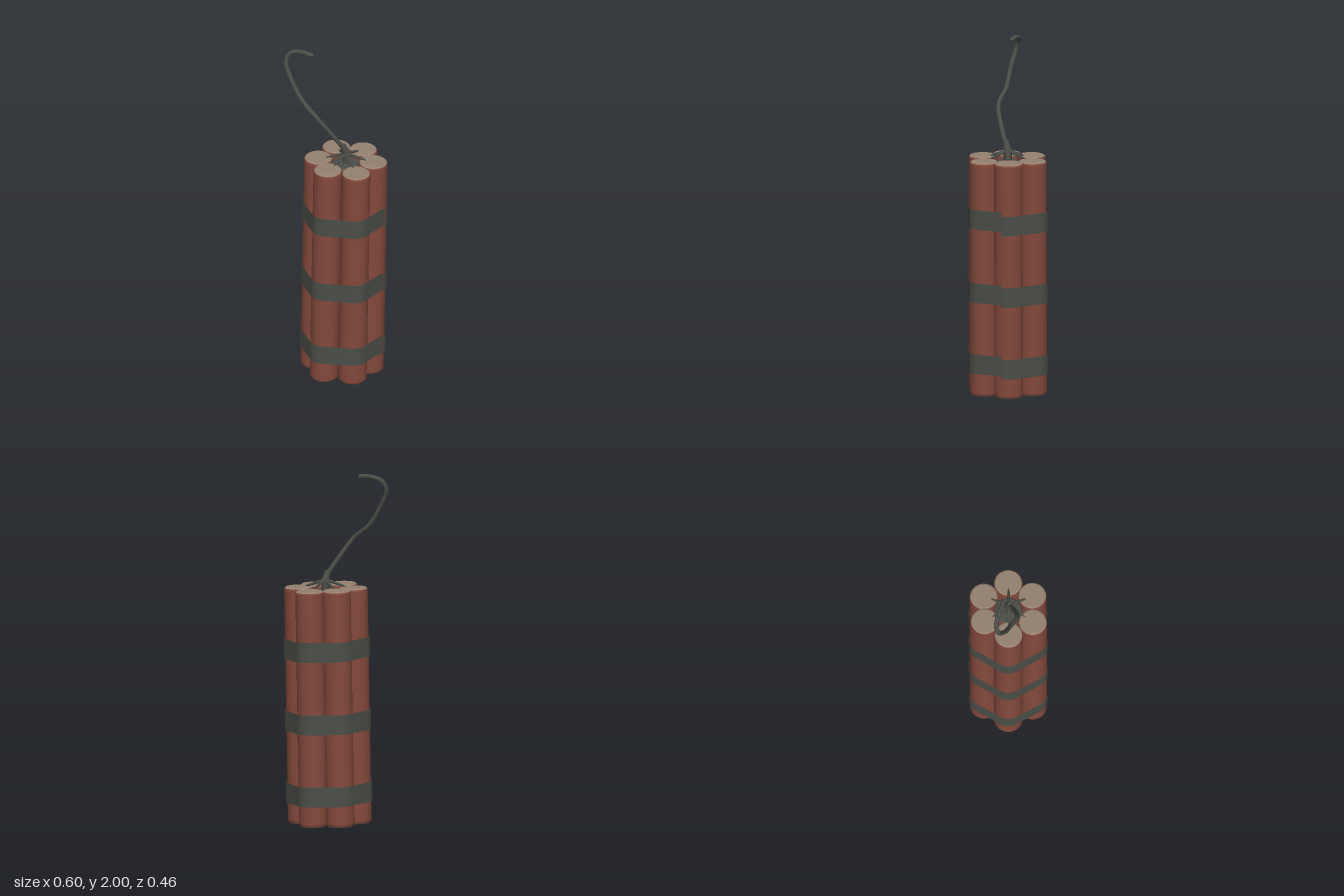
import * as THREE from 'three';

const stickRed = new THREE.MeshStandardMaterial({ color: 0x84493c });
stickRed.name = 'stickRed';
const capTan = new THREE.MeshStandardMaterial({ color: 0x94806f });
capTan.name = 'capTan';
const darkGrey = new THREE.MeshStandardMaterial({ color: 0x4b4e48, side: THREE.DoubleSide });
darkGrey.name = 'darkGrey';

const R = 0.08;
// Outer stick centres [x, z], running from the left side round through the front
const centres = [[0.198, -0.015], [0.133, 0.125], [-0.027, 0.14], [-0.112, 0.01], [-0.042, -0.13], [0.108, -0.145]];

function mesh(name, geometry, material, parent) {
  const m = new THREE.Mesh(geometry, material);
  m.name = name;
  parent.add(m);
  return m;
}

function lathe(points) {
  return new THREE.LatheGeometry(points.map(([r, y]) => new THREE.Vector2(r, y)), 32);
}

// One stick: red tube with a slightly bevelled disc at each end
function addStick(parent, name, [x, z], y0, y1, topMaterial) {
  const g = new THREE.Group();
  g.name = name;
  g.position.set(x, 0, z);
  mesh('tube', lathe([[0.077, y0 + 0.006], [R, y0 + 0.014], [R, y0 + 0.016], [R, y1 - 0.016], [R, y1 - 0.014], [0.077, y1 - 0.006]]), stickRed, g);
  mesh('bottomCap', lathe([[0, y0], [0.069, y0], [0.07, y0], [0.077, y0 + 0.006]]), capTan, g);
  mesh('topCap', lathe([[0.077, y1 - 0.006], [0.07, y1], [0.069, y1], [0, y1]]), topMaterial, g);
  parent.add(g);
}

// Tape wound once round the bundle, sinking by `drop` so its ends overlap
function bandGeometry(yMid, height, drop) {
  const n = centres.length;
  const edgeAngle = i => {
    const a = centres[(i + n) % n], b = centres[(i + 1) % n];
    return Math.atan2(-(b[0] - a[0]), b[1] - a[1]);
  };
  const path = [];
  for (let i = 0; i <= n; i++) {
    const c = centres[i % n], a1 = edgeAngle(i % n);
    let a0 = edgeAngle((i % n) - 1);
    while (a0 > a1) a0 -= Math.PI * 2;
    while (a1 - a0 > Math.PI * 2) a0 += Math.PI * 2;
    for (let k = i === 0 ? 8 : 0; k <= 8; k++) {
      const a = a0 + (a1 - a0) * k / 8, r = 0.085 + 0.004 * i / n;
      path.push([c[0] + r * Math.cos(a), c[1] + r * Math.sin(a)]);
    }
  }
  const positions = [], index = [];
  path.forEach(([x, z], k) => {
    const y = yMid - drop * k / (path.length - 1);
    positions.push(x, y - height / 2, z, x, y + height / 2, z);
    if (k) {
      const j = 2 * k - 2;
      index.push(j, j + 1, j + 2, j + 1, j + 3, j + 2);
    }
  });
  const g = new THREE.BufferGeometry();
  g.setAttribute('position', new THREE.Float32BufferAttribute(positions, 3));
  g.setIndex(index);
  g.computeVertexNormals();
  return g;
}

// Tapered rod between two points
function addRod(parent, name, from, to, r0, r1) {
  const a = new THREE.Vector3(...from), b = new THREE.Vector3(...to);
  const d = b.clone().sub(a);
  const m = mesh(name, new THREE.CylinderGeometry(r1, r0, d.length(), 10), darkGrey, parent);
  m.position.copy(a).add(b).multiplyScalar(0.5);
  m.quaternion.setFromUnitVectors(new THREE.Vector3(0, 1, 0), d.normalize());
}

export function createModel() {
  const model = new THREE.Group();
  model.name = 'stickBundle';

  // Sticks and tape lean slightly to one side
  const bundle = new THREE.Group();
  bundle.name = 'bundle';
  bundle.rotation.z = -0.0165;
  model.add(bundle);
  centres.forEach((c, i) => addStick(bundle, 'outerStick' + (i + 1), c, 0.013, 1.348 + (i % 2 ? 0 : 0.004), capTan));
  addStick(bundle, 'centreStick', [0.04, -0.002], 0.006, 1.33, darkGrey);
  [[1.026, 0.112, 0.024], [0.606, 0.112, 0.011], [0.2, 0.112, 0.016]].forEach(([y, h, drop], i) =>
    mesh('tapeBand' + (i + 1), bandGeometry(y, h, drop), darkGrey, bundle));

  // Fuse cord
  const fuse = new THREE.Group();
  fuse.name = 'fuse';
  model.add(fuse);
  const points = [
    [0.068, 1.36, -0.003], [0.055, 1.42, 0.008], [0, 1.51, 0.036], [-0.085, 1.625, 0.057],
    [-0.175, 1.7, 0.02], [-0.245, 1.81, -0.004], [-0.287, 1.915, -0.034],
    [-0.266, 1.965, -0.046], [-0.205, 1.987, -0.038], [-0.135, 1.985, -0.016],
  ].map(p => new THREE.Vector3(...p));
  mesh('cord', new THREE.TubeGeometry(new THREE.CatmullRomCurve3(points), 80, 0.013, 10), darkGrey, fuse);
  const tip = mesh('cordTip', new THREE.SphereGeometry(0.0135, 10, 8), darkGrey, fuse);
  tip.position.copy(points[points.length - 1]);

  // Collar where the wires gather, and the wires splayed over the caps
  addRod(fuse, 'collarBase', [0.068, 1.32, -0.003], [0.068, 1.385, -0.003], 0.022, 0.024);
  addRod(fuse, 'collar', [0.068, 1.385, -0.003], [0.054, 1.445, 0.008], 0.024, 0.014);
  [[0.18, -0.01], [0.13, 0.092], [0.02, 0.096], [-0.046, 0.01], [0.005, -0.088], [0.114, -0.103]].forEach(([x, z], i) => {
    const mid = [0.068 + (x - 0.068) * 0.8, 1.36, z * 0.8];
    addRod(fuse, 'wire' + (i + 1), [0.068, 1.39, -0.003], mid, 0.009, 0.007);
    addRod(fuse, 'wireTip' + (i + 1), mid, [x, 1.354, z], 0.007, 0.002);
  });
  return model;
}
